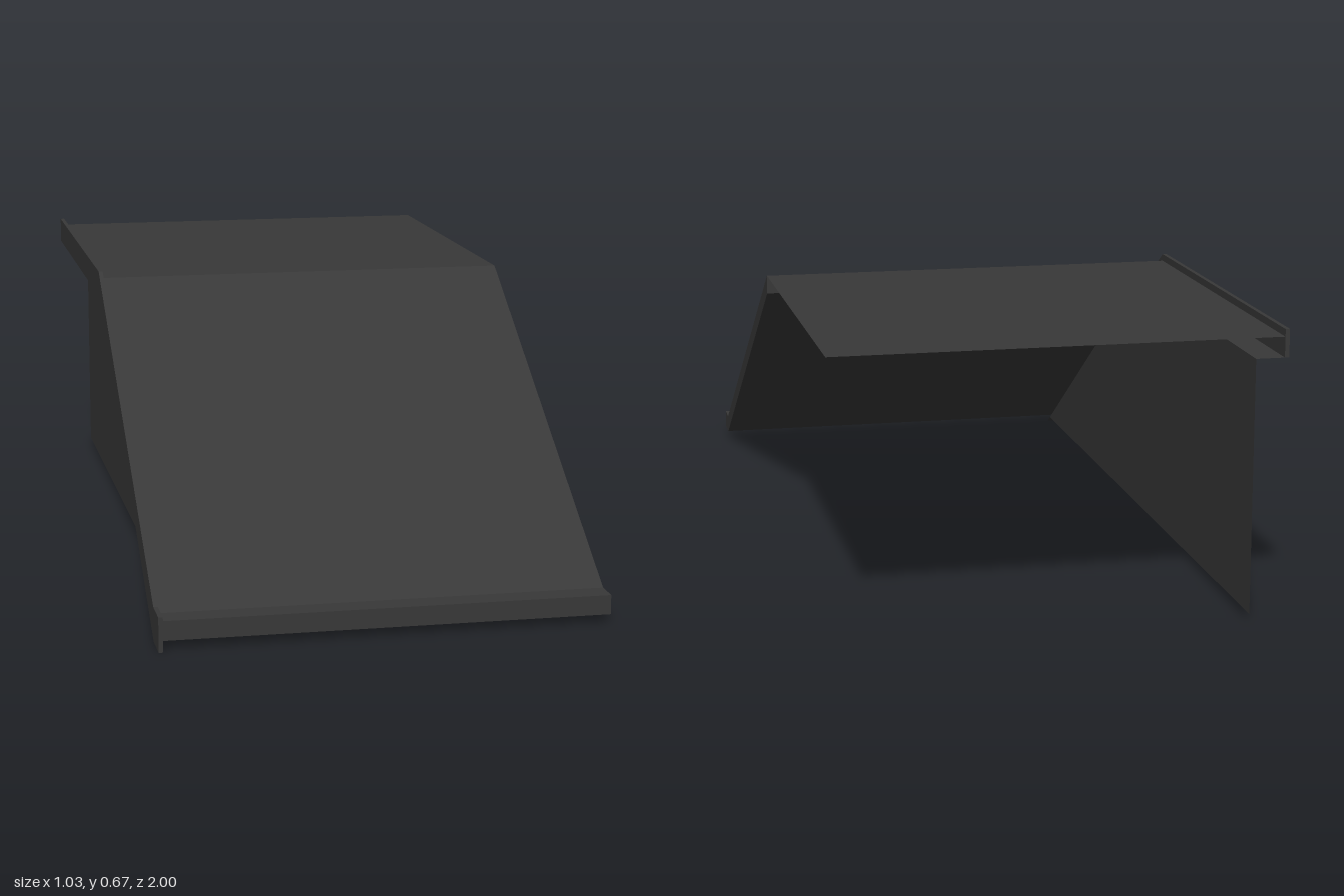
import * as THREE from 'three';

export function createModel() {
  const group = new THREE.Group();
  group.name = 'ramp';
  const metal = new THREE.MeshStandardMaterial({ color: 0x383838, side: THREE.DoubleSide });
  metal.name = 'darkMetal';

  const add = (name, geometry) => {
    const mesh = new THREE.Mesh(geometry, metal);
    mesh.name = name;
    group.add(mesh);
  };

  // Side profile in [z, y], extruded across x from x0 to x1
  const shapeOf = (points) => new THREE.Shape(points.map(([z, y]) => new THREE.Vector2(z, y)));
  const slab = (points, x0, x1) =>
    new THREE.ExtrudeGeometry(shapeOf(points), { depth: x1 - x0, bevelEnabled: false })
      .rotateY(-Math.PI / 2)
      .translate(x1, 0, 0);

  // Thin sheet following a [z, y] path between x0 and x1
  const sheet = (path, x0, x1) => {
    const g = new THREE.PlaneGeometry(1, 1, 1, path.length - 1);
    const p = g.attributes.position;
    path.forEach(([z, y], i) => {
      p.setXYZ(i * 2, x0, y, z);
      p.setXYZ(i * 2 + 1, x1, y, z);
    });
    const flat = g.toNonIndexed();
    flat.computeVertexNormals();
    return flat;
  };

  const outer = -0.516, inner = -0.506, wallX = -0.44, edge = 0.516;

  // Level deck at the top
  add('platform', sheet([[-1, 0.655], [-0.04, 0.655]], inner, edge));

  // Sloping deck with a flat toe
  add('rampDeck', slab([
    [0.98, 0.02], [0.98, 0.065], [0.92, 0.065], [-0.04, 0.655], [-0.04, 0.61], [0.92, 0.02],
  ], inner, edge));

  // Raised curb along the right side
  add('sideCurb', slab([
    [1, 0], [1, 0.08], [0.92, 0.08], [-0.04, 0.672], [-1, 0.672],
    [-1, 0.608], [-0.035, 0.608], [0.92, 0],
  ], outer, inner));

  // Flange joining the curb to the wall
  add('curbFlange', sheet([[-1, 0.608], [-0.035, 0.608], [0.92, 0.002]], outer, wallX));

  // Side wall below the flange
  add('sideWall', new THREE.ShapeGeometry(shapeOf([
    [0.915, 0.02], [0.89, 0.02], [-1, 0.02], [-1, 0.608], [-0.035, 0.608], [0.89, 0.021],
  ].slice(1))).rotateY(-Math.PI / 2).translate(wallX, 0, 0));

  return group;
}
